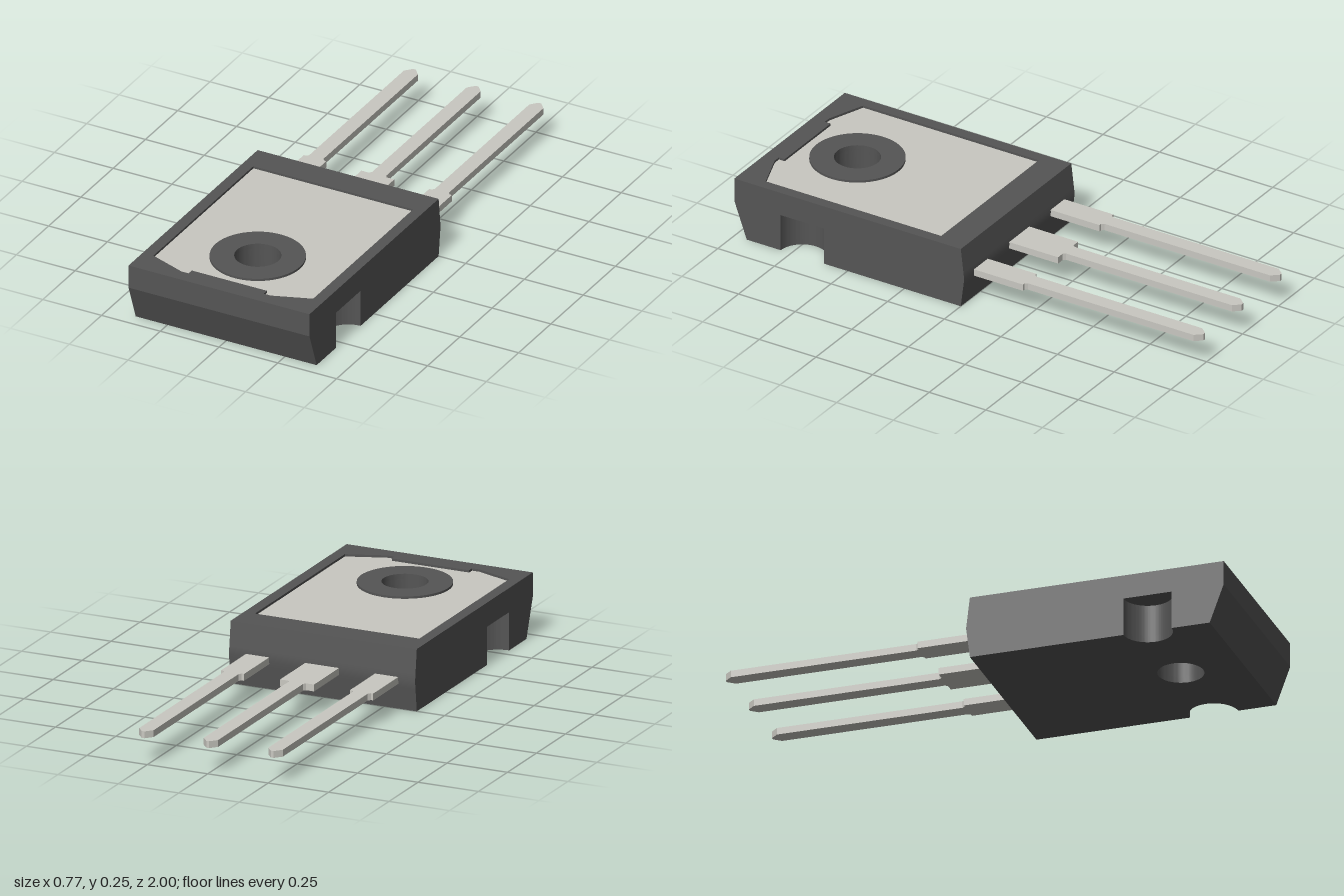
import * as THREE from 'three';
import { toCreasedNormals } from 'three/addons/utils/BufferGeometryUtils.js';

const W = 0.385;       // half width of the body
const HOLE_Z = 0.7;    // centre of the screw hole and side notches
const TOP = 0.245;

const bodyMat = new THREE.MeshStandardMaterial({ color: 0x555555 });
const metalMat = new THREE.MeshStandardMaterial({ color: 0xc9c8c1 });

const polygon = (pts) => new THREE.Shape(pts.map(([x, z]) => new THREE.Vector2(x, z)));

function circle(r, Type = THREE.Path) {
  const p = new Type();
  p.absarc(0, HOLE_Z, r, 0, Math.PI * 2, false);
  return p;
}

// Extrudes a plan outline (x, z) between two heights
function slab(shape, y0, y1, steps = 1) {
  const geo = new THREE.ExtrudeGeometry(shape, {
    depth: y1 - y0, steps, bevelEnabled: false, curveSegments: 32,
  });
  geo.rotateX(Math.PI / 2);
  geo.translate(0, y1, 0);
  return geo;
}

// Leans the front end in below y = 0.15 and swells the back end at y = 0.12
function draft(geo) {
  const p = geo.attributes.position;
  for (let i = 0; i < p.count; i++) {
    const y = p.getY(i), z = p.getZ(i);
    if (z > 0.999) p.setZ(i, 1 - 0.055 * Math.max(0, 1 - y / 0.15));
    if (z < 0.001) p.setZ(i, -0.015 * (y < 0.12 ? y / 0.12 : (TOP - y) / (TOP - 0.12)));
  }
  return geo;
}

function add(group, name, geo, mat) {
  const mesh = new THREE.Mesh(toCreasedNormals(geo, 0.5), mat);
  mesh.name = name;
  group.add(mesh);
}

// Flat lead outline: wide shoulder, slim pin, pointed tip
function leadShape(x, shoulder) {
  const half = [[shoulder, 0.02], [shoulder, -0.23], [0.038, -0.23], [0.03, -0.24],
    [0.03, -0.972], [0.006, -1]];
  const right = half.map(([dx, z]) => [x + dx, z]);
  const left = half.map(([dx, z]) => [x - dx, z]).reverse();
  return polygon([...right, ...left]);
}

export function createModel() {
  const model = new THREE.Group();
  model.name = 'powerTransistor';

  const body = new THREE.Group();
  body.name = 'body';
  model.add(body);

  // Lower body with a half-round notch in each side
  const lower = new THREE.Shape();
  lower.moveTo(-W, 0);
  lower.lineTo(W, 0);
  lower.absarc(W, HOLE_Z, 0.095, -Math.PI / 2, Math.PI / 2, true);
  lower.lineTo(W, 1);
  lower.lineTo(-W, 1);
  lower.absarc(-W, HOLE_Z, 0.095, Math.PI / 2, -Math.PI / 2, true);
  lower.closePath();
  lower.holes.push(circle(0.088));
  add(body, 'lowerBody', draft(slab(lower, 0, 0.15, 5)), bodyMat);

  // Upper body
  const outline = [[-W, 0], [W, 0], [W, 1], [-W, 1]];
  const upper = polygon(outline);
  upper.holes.push(circle(0.088));
  add(body, 'upperBody', draft(slab(upper, 0.15, 0.225)), bodyMat);

  // Rim around the recessed plate
  const plateOutline = [[-0.34, 0.115], [0.34, 0.115], [0.34, 0.89], [0.19, 0.945], [0.16, 0.945],
    [0.16, 0.92], [-0.16, 0.92], [-0.16, 0.945], [-0.19, 0.945], [-0.34, 0.89]];
  const rim = polygon(outline);
  rim.holes.push(polygon(plateOutline));
  add(body, 'rim', draft(slab(rim, 0.225, TOP)), bodyMat);

  // Ring around the screw hole
  const ring = circle(0.18, THREE.Shape);
  ring.holes.push(circle(0.088));
  add(body, 'holeRing', slab(ring, 0.225, TOP), bodyMat);

  // Metal heat plate
  const plate = polygon(plateOutline);
  plate.holes.push(circle(0.18));
  add(model, 'heatPlate', slab(plate, 0.225, 0.236), metalMat);

  // Three leads
  const leads = [['rightLead', -0.267, 0.048], ['middleLead', 0, 0.07], ['leftLead', 0.267, 0.048]];
  for (const [name, x, shoulder] of leads) {
    add(model, name, slab(leadShape(x, shoulder), 0.102, 0.129), metalMat);
  }

  return model;
}
